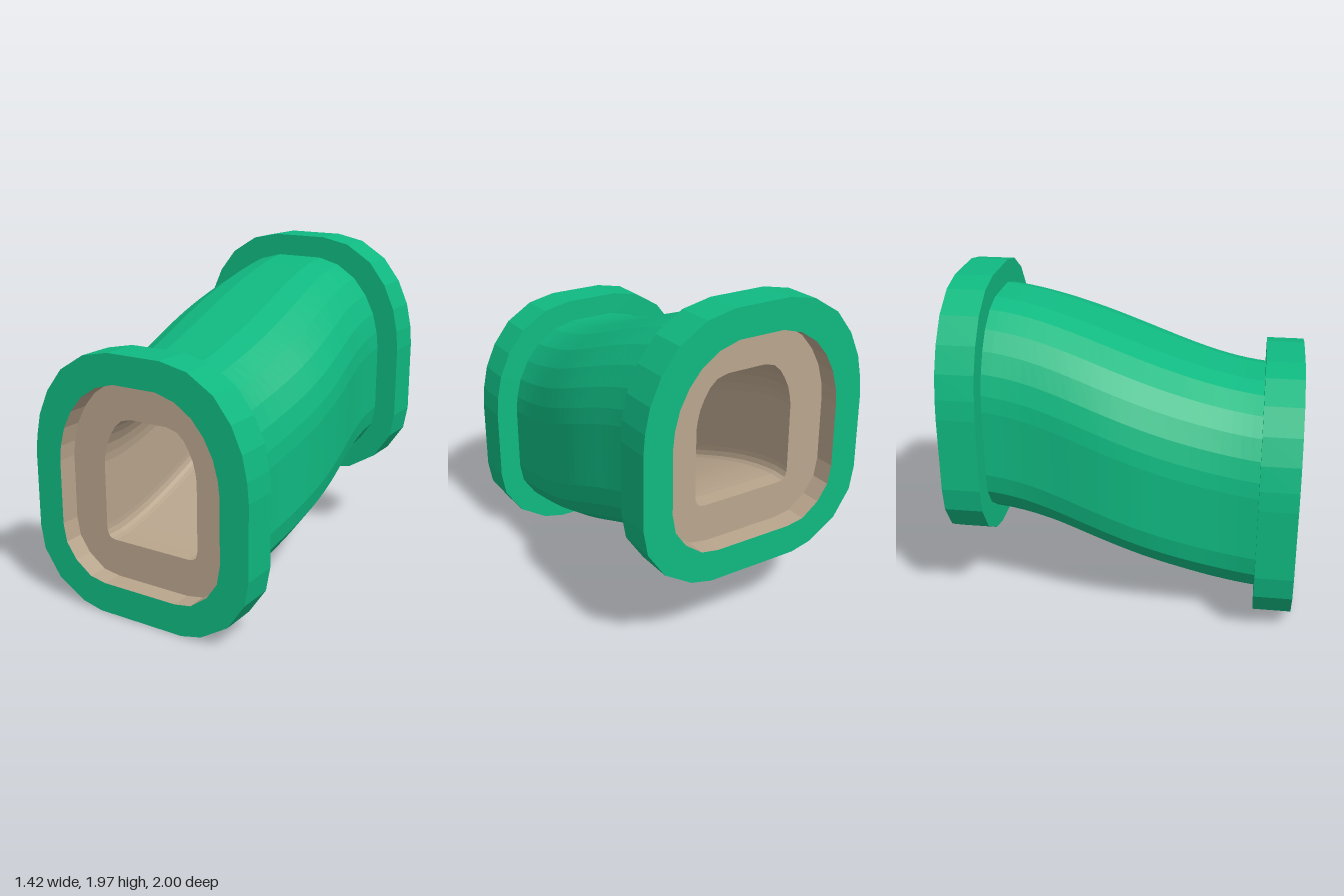
import * as THREE from 'three';

// Right halves of the cross-sections, bottom to top, at the height of the front end
const COLLAR = [[.28, 0], [.41, .03], [.58, .135], [.685, .29], [.71, .43], [.71, .86],
  [.70, .975], [.67, 1.115], [.605, 1.26], [.5, 1.395], [.34, 1.495], [.17, 1.53]];
const RECESS = [[.24, .18], [.345, .198], [.45, .275], [.515, .37], [.535, .48], [.535, .86],
  [.525, .95], [.495, 1.06], [.44, 1.165], [.365, 1.255], [.26, 1.325], [.14, 1.36]];
const BORE = [[.25, .4], [.28, .405], [.3, .42], [.31, .45], [.312, .48], [.312, .86],
  [.305, .91], [.29, .97], [.262, 1.03], [.23, 1.08], [.185, 1.12], [.12, 1.137]];
// The pipe wall lies between the collar and recess outlines
const BODY = COLLAR.map(([x, y], i) => [x + (RECESS[i][0] - x) * .77, y + (RECESS[i][1] - y) * .77]);

const END = .78, FLOOR = .88, RISE = .44, STEPS = 28;

// Height of the S-bend at depth z
function rise(z) {
  const t = THREE.MathUtils.clamp((END - z) / (2 * END), 0, 1);
  return RISE * (.35 * t + .65 * t * t * (3 - 2 * t));
}

// Full closed ring at depth z, with an optional sideways stretch
function ring(half, z, stretch = 1) {
  const right = half.map(([x, y]) => [x * stretch, y + rise(z), z]);
  return [...right, ...right.map(([x, y]) => [-x, y, z]).reverse()];
}

// Faceted skin through a list of rings
function loft(name, rings, material) {
  const n = rings[0].length, index = [];
  for (let i = 0; i < rings.length - 1; i++) {
    for (let j = 0; j < n; j++) {
      const k = (j + 1) % n;
      const a = i * n + j, b = i * n + k, c = a + n, d = b + n;
      index.push(a, c, b, b, c, d);
    }
  }
  let geometry = new THREE.BufferGeometry();
  geometry.setAttribute('position', new THREE.Float32BufferAttribute(rings.flat(2), 3));
  geometry.setIndex(index);
  geometry = geometry.toNonIndexed();
  geometry.computeVertexNormals();
  const mesh = new THREE.Mesh(geometry, material);
  mesh.name = name;
  return mesh;
}

export function createModel() {
  const green = new THREE.MeshStandardMaterial({ color: 0x10b981 });
  green.name = 'pipeGreen';
  const tan = new THREE.MeshStandardMaterial({ color: 0xb9a58d });
  tan.name = 'liningTan';

  const group = new THREE.Group();
  group.name = 'pipeSegment';

  // Outer pipe, bulging sideways in the middle, and the lining bore
  const bodyRings = [], boreRings = [];
  for (let i = 0; i <= STEPS; i++) {
    const z = END - 2 * END * i / STEPS;
    const bulge = Math.abs(z) < .7 ? Math.cos(Math.PI * z / 1.4) ** 2 : 0;
    bodyRings.push(ring(BODY, z, 1 + .105 * bulge));
    boreRings.unshift(ring(BORE, z));
  }
  group.add(loft('pipeBody', bodyRings, green));
  group.add(loft('bore', [ring(BORE, -FLOOR), ...boreRings, ring(BORE, FLOOR)], tan));

  // Collars with end face, rim and inner step
  group.add(loft('frontCollar',
    [ring(RECESS, 1), ring(COLLAR, 1), ring(COLLAR, END), ring(BODY, END)], green));
  group.add(loft('backCollar',
    [ring(BODY, -END), ring(COLLAR, -END), ring(COLLAR, -1), ring(RECESS, -1)], green));

  // Recessed sockets at both ends
  group.add(loft('frontSocket', [ring(BORE, FLOOR), ring(RECESS, FLOOR), ring(RECESS, 1)], tan));
  group.add(loft('backSocket', [ring(RECESS, -1), ring(RECESS, -FLOOR), ring(BORE, -FLOOR)], tan));
  return group;
}
